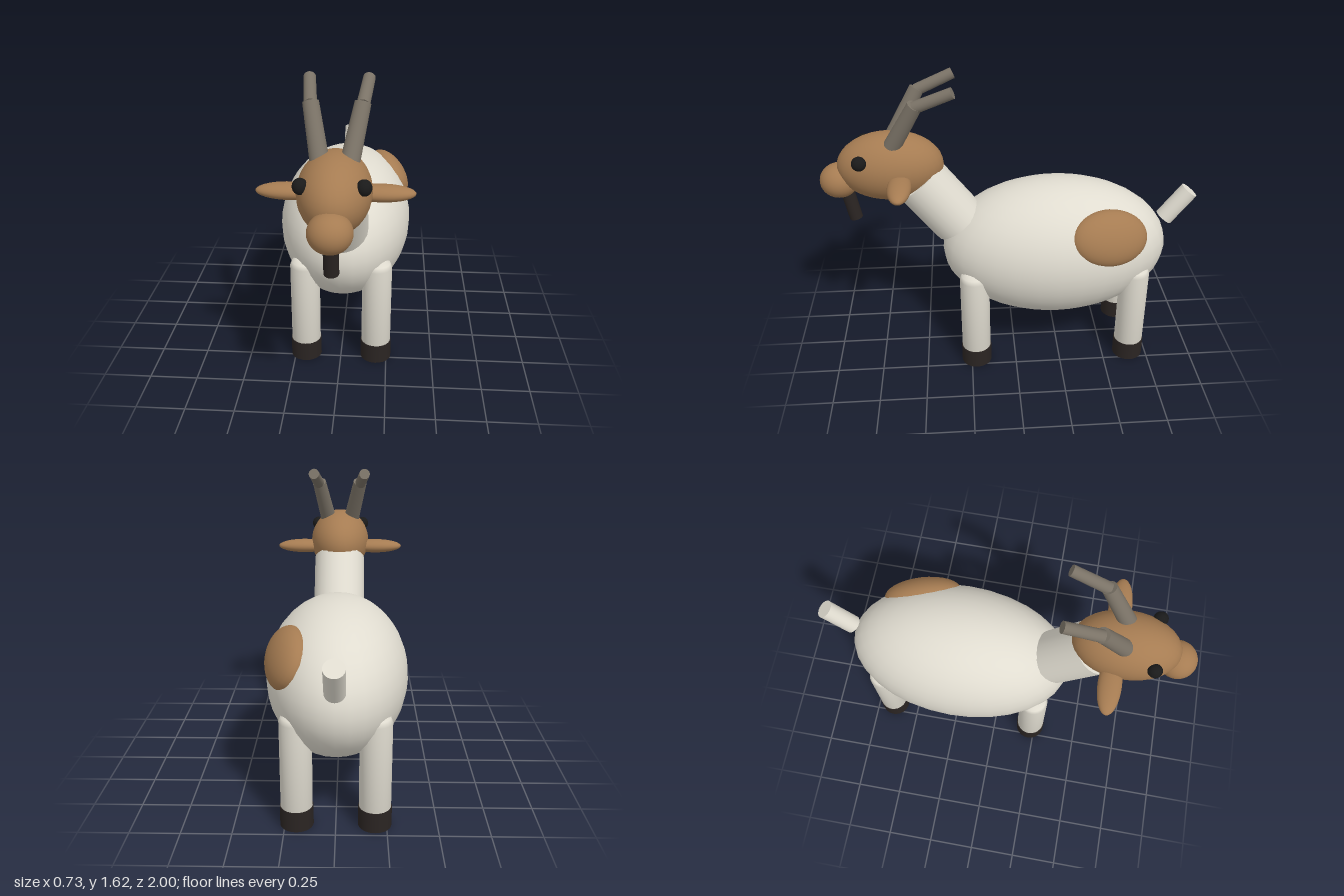
import * as THREE from 'three';

const paint = (color) => new THREE.MeshStandardMaterial({ color });

export function createModel() {
  const goat = new THREE.Group();
  goat.name = 'goat';
  const wool = paint(0xe0dcd0), tan = paint(0xa67c52), horn = paint(0x7a7266);
  const dark = paint(0x2a2422), black = paint(0x1a1a1a);
  const sphere = new THREE.SphereGeometry(1, 32, 20);

  const add = (name, geometry, material) => {
    const mesh = new THREE.Mesh(geometry, material);
    mesh.name = name;
    goat.add(mesh);
    return mesh;
  };
  const ellipsoid = (name, material, centre, radii) => {
    const mesh = add(name, sphere, material);
    mesh.position.set(...centre);
    mesh.scale.set(...radii);
    return mesh;
  };
  // Cylinder running from point a to point b
  const rod = (name, material, a, b, ra, rb = ra) => {
    const from = new THREE.Vector3(...a), to = new THREE.Vector3(...b);
    const axis = to.clone().sub(from);
    const mesh = add(name, new THREE.CylinderGeometry(rb, ra, axis.length(), 24), material);
    mesh.position.copy(from).add(to).multiplyScalar(0.5);
    mesh.quaternion.setFromUnitVectors(new THREE.Vector3(0, 1, 0), axis.normalize());
    return mesh;
  };

  // Body with one flank patch lying along its surface
  ellipsoid('body', wool, [0, 0.645, -0.228], [0.365, 0.385, 0.613]);
  const patch = ellipsoid('flankPatch', tan, [0.24, 0.81, -0.485], [0.09, 0.15, 0.215]);
  const out = new THREE.Vector3(0.85, 0.45, -0.27).normalize();
  const along = new THREE.Vector3(0, 0, 1).addScaledVector(out, -out.z).normalize();
  const up = along.clone().cross(out);
  patch.quaternion.setFromRotationMatrix(new THREE.Matrix4().makeBasis(out, up, along));

  // Neck, head and muzzle
  rod('neck', wool, [0, 0.815, 0.295], [0, 1.075, 0.495], 0.145);
  ellipsoid('head', tan, [0, 1.155, 0.632], [0.171, 0.18, 0.273]);
  ellipsoid('muzzle', tan, [0, 1.078, 0.9], [0.1, 0.091, 0.1]);
  rod('beard', dark, [0, 0.852, 0.838], [0, 1.03, 0.87], 0.035);

  // Tail
  rod('tail', wool, [0, 0.78, -0.832], [0, 0.945, -0.957], 0.05);

  // Leg profile with a rounded shoulder
  const profile = [[0, 0.08], [0.079, 0.08], [0.079, 0.555], [0.069, 0.58], [0.044, 0.594], [0, 0.595]]
    .map(([x, y]) => new THREE.Vector2(x, y));
  const legGeometry = new THREE.LatheGeometry(profile, 24);
  const hoofGeometry = new THREE.CylinderGeometry(0.083, 0.083, 0.105, 24);

  for (const [side, s] of [['left', 1], ['right', -1]]) {
    for (const [end, z] of [['Front', 0.222], ['Back', -0.648]]) {
      add(`${side}${end}Leg`, legGeometry, wool).position.set(s * 0.192, 0, z);
      add(`${side}${end}Hoof`, hoofGeometry, dark).position.set(s * 0.192, 0.0525, z);
    }
    ellipsoid(`${side}Eye`, black, [s * 0.137, 1.233, 0.772], [0.035, 0.037, 0.037]);
    ellipsoid(`${side}Ear`, tan, [s * 0.21, 1.13, 0.578], [0.157, 0.039, 0.06]);
    // Two-part horn bending backwards
    rod(`${side}HornBase`, horn, [s * 0.066, 1.28, 0.615], [s * 0.117, 1.522, 0.48], 0.045, 0.038);
    rod(`${side}HornTip`, horn, [s * 0.118, 1.512, 0.485], [s * 0.139, 1.59, 0.297], 0.031, 0.029);
  }
  return goat;
}
